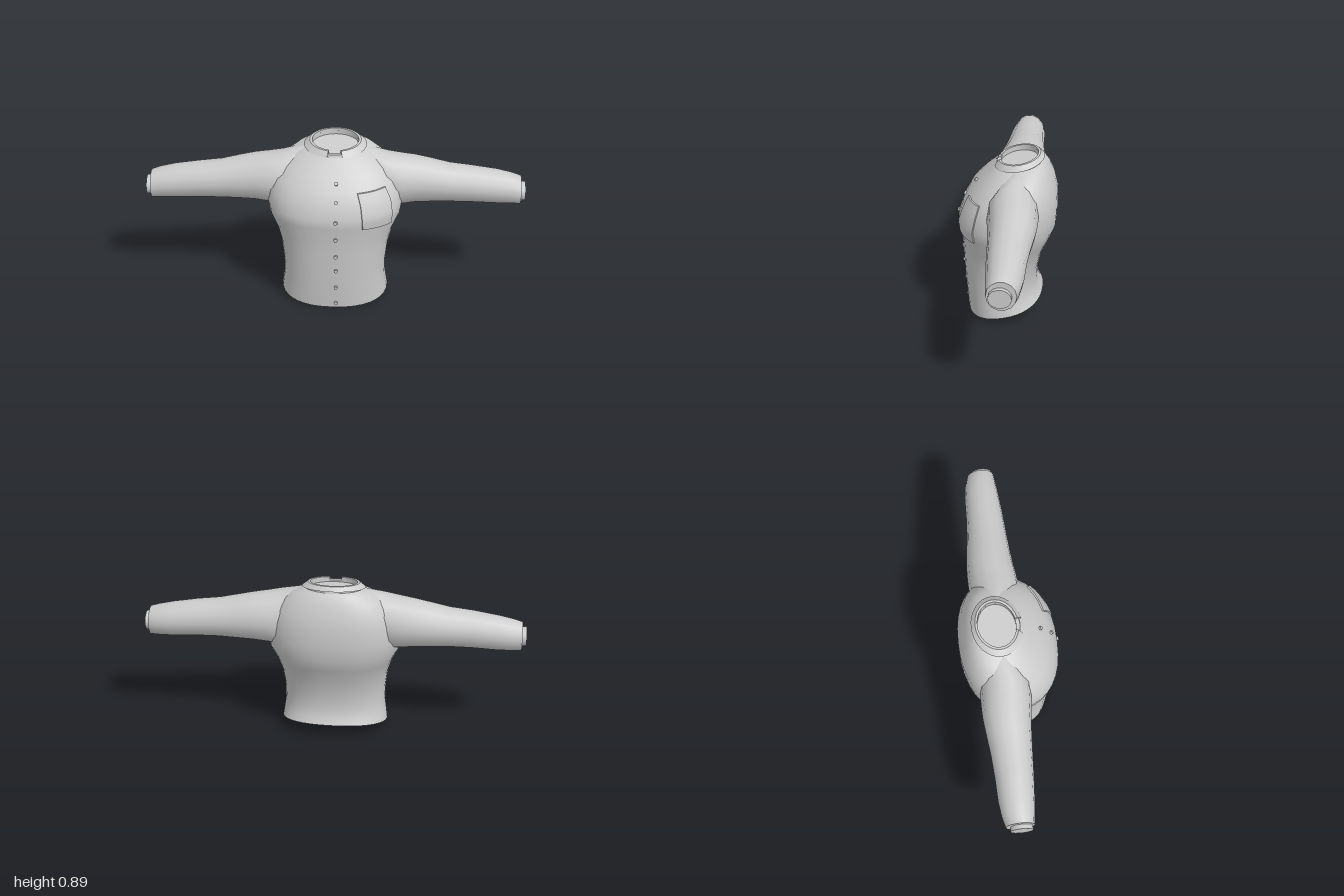
import * as THREE from 'three';
import { toCreasedNormals } from 'three/addons/utils/BufferGeometryUtils.js';

const material = new THREE.MeshStandardMaterial({ color: 0xcccccc });

// Skin closed rings of [x, y, z] points; caps get their own vertices so their edges stay sharp.
function loft(rings, { capStart = false, capEnd = false, flip = false } = {}) {
  const n = rings[0].length;
  const pos = rings.flat(2);
  const index = [];
  const tri = (a, b, c) => (flip ? index.push(a, c, b) : index.push(a, b, c));
  for (let j = 0; j < rings.length - 1; j++) {
    for (let i = 0; i < n; i++) {
      const k = (i + 1) % n;
      const a = j * n + i, b = j * n + k, c = a + n, d = b + n;
      tri(a, c, b);
      tri(b, c, d);
    }
  }
  const cap = (ring, end) => {
    const base = pos.length / 3;
    const centre = [0, 1, 2].map((q) => ring.reduce((s, p) => s + p[q], 0) / n);
    pos.push(...centre, ...ring.flat());
    for (let i = 0; i < n; i++) {
      const p = base + 1 + i, q = base + 1 + ((i + 1) % n);
      if (end) tri(base, q, p);
      else tri(base, p, q);
    }
  };
  if (capStart) cap(rings[0], false);
  if (capEnd) cap(rings[rings.length - 1], true);
  const g = new THREE.BufferGeometry();
  g.setAttribute('position', new THREE.Float32BufferAttribute(pos, 3));
  g.setIndex(index);
  g.computeVertexNormals();
  return g;
}

function add(parent, name, geometry) {
  const mesh = new THREE.Mesh(geometry, material);
  mesh.name = name;
  parent.add(mesh);
  return mesh;
}

// Torso sections: front y, front z, back y, back z, half width
const TORSO = [
  [0, 0.21, 0.085, -0.19, 0.285],
  [0.05, 0.215, 0.12, -0.172, 0.279],
  [0.12, 0.221, 0.17, -0.16, 0.27],
  [0.22, 0.229, 0.25, -0.165, 0.272],
  [0.33, 0.235, 0.35, -0.19, 0.285],
  [0.42, 0.24, 0.43, -0.228, 0.31],
  [0.5, 0.252, 0.5, -0.257, 0.345],
  [0.55, 0.257, 0.58, -0.263, 0.355],
  [0.62, 0.232, 0.67, -0.263, 0.35],
  [0.68, 0.2, 0.745, -0.245, 0.32],
  [0.74, 0.145, 0.8, -0.222, 0.27],
  [0.79, 0.095, 0.84, -0.2, 0.21],
  [0.82, 0.062, 0.855, -0.18, 0.15],
];

// Point on the torso: v runs up the sections, a runs round from +x towards the front
function torsoPoint(v, a, offset = 0) {
  const j = Math.min(Math.floor(v), TORSO.length - 2);
  const [yF, zF, yB, zB, w] = TORSO[j].map((s, q) => s + (TORSO[j + 1][q] - s) * (v - j));
  const round = (s) => Math.sign(s) * Math.pow(Math.abs(s), 2 / 2.3);
  const c = round(Math.cos(a)), s = round(Math.sin(a));
  return [
    c * (w + offset),
    (yF + yB) / 2 + (s * (yF - yB)) / 2,
    (zF + zB) / 2 + s * ((zF - zB) / 2 + offset),
  ];
}

// Sleeve sections: x, bottom y, top y, front z, back z
const SLEEVE = [
  [0.16, 0.58, 0.835, 0.03, -0.15],
  [0.27, 0.505, 0.808, 0.085, -0.178],
  [0.35, 0.512, 0.793, 0.08, -0.18],
  [0.42, 0.522, 0.782, 0.07, -0.178],
  [0.5, 0.526, 0.765, 0.062, -0.17],
  [0.6, 0.53, 0.742, 0.055, -0.158],
  [0.72, 0.528, 0.728, 0.048, -0.15],
  [0.85, 0.522, 0.708, 0.038, -0.146],
  [0.93, 0.521, 0.69, 0.03, -0.135],
  [0.977, 0.521, 0.675, 0.025, -0.122],
];
const WRIST = [[0.96, 0.545, 0.645, 0.014, -0.1], [1, 0.545, 0.645, 0.014, -0.1]];

function armRings(sections, side) {
  return sections.map(([x, y0, y1, z0, z1]) =>
    Array.from({ length: 14 }, (_, i) => {
      const a = (i / 14) * Math.PI * 2;
      return [
        side * x,
        (y0 + y1) / 2 + (Math.sin(a) * (y1 - y0)) / 2,
        (z0 + z1) / 2 + (Math.cos(a) * (z0 - z1)) / 2,
      ];
    }));
}

// Band round the neck; profile points: x radius, z radius, mean y, forward drop
function neckBand(profile, gap) {
  const rings = [];
  for (let k = 0; k <= 32; k++) {
    const t = gap + (k / 32) * (Math.PI * 2 - 2 * gap);
    rings.push(profile.map(([rx, rz, y, drop]) =>
      [rx * Math.sin(t), y - drop * Math.cos(t), -0.06 + rz * Math.cos(t)]));
  }
  const caps = gap > 0;
  return toCreasedNormals(loft(rings, { capStart: caps, capEnd: caps }), 0.6);
}

// Patch pocket following the chest, as a thin closed slab
function pocketGeometry() {
  const rings = [];
  const steps = 8;
  for (let j = 0; j <= steps; j++) {
    const t = j / steps;
    const v = 5.95 + t * 3.05;
    const inner = 1.177 + t * 0.063, outer = 0.582 + t * 0.084;
    const row = (offset) => Array.from({ length: steps + 1 }, (_, i) =>
      torsoPoint(v, outer + ((inner - outer) * i) / steps, offset));
    rings.push([...row(0.007), ...row(-0.006).reverse()]);
  }
  return toCreasedNormals(loft(rings, { capStart: true, capEnd: true }), 0.6);
}

export function createModel() {
  const group = new THREE.Group();
  group.name = 'buttonedShirt';

  // Body
  const rings = TORSO.map((_, j) =>
    Array.from({ length: 36 }, (_, i) => torsoPoint(j, (i / 36) * Math.PI * 2)));
  add(group, 'torso', loft(rings, { capStart: true, capEnd: true }));

  // Sleeves with the wrists showing at the ends
  for (const [side, label] of [[1, 'left'], [-1, 'right']]) {
    const options = { capStart: true, capEnd: true, flip: side < 0 };
    add(group, label + 'Sleeve', loft(armRings(SLEEVE, side), options));
    add(group, label + 'Wrist', loft(armRings(WRIST, side), options));
  }

  // Collar stand and folded collar, open at the front
  add(group, 'collarStand', neckBand([
    [0.153, 0.125, 0.83, 0.02], [0.145, 0.118, 0.853, 0.02],
    [0.122, 0.098, 0.853, 0.02], [0.122, 0.098, 0.82, 0.02],
  ], 0));
  add(group, 'collar', neckBand([
    [0.165, 0.131, 0.843, 0.0225], [0.135, 0.11, 0.868, 0.0175],
    [0.122, 0.098, 0.868, 0.0175], [0.122, 0.098, 0.84, 0.02],
  ], 0.25));

  // Chest pocket
  add(group, 'pocket', pocketGeometry());

  // Buttons: height, depth, backward lean
  const buttons = [
    [0.03, 0.213, 0], [0.132, 0.222, 0], [0.24, 0.23, 0], [0.328, 0.235, 0],
    [0.434, 0.242, 0], [0.543, 0.256, 0], [0.64, 0.222, 0.5], [0.72, 0.164, 0.75],
  ];
  const buttonGeometry = new THREE.CylinderGeometry(0.01, 0.01, 0.02, 10).rotateX(Math.PI / 2);
  for (const [y, z, lean] of buttons) {
    const button = add(group, 'button', buttonGeometry);
    button.position.set(0.012, y, z);
    button.rotation.x = -lean;
  }
  return group;
}
